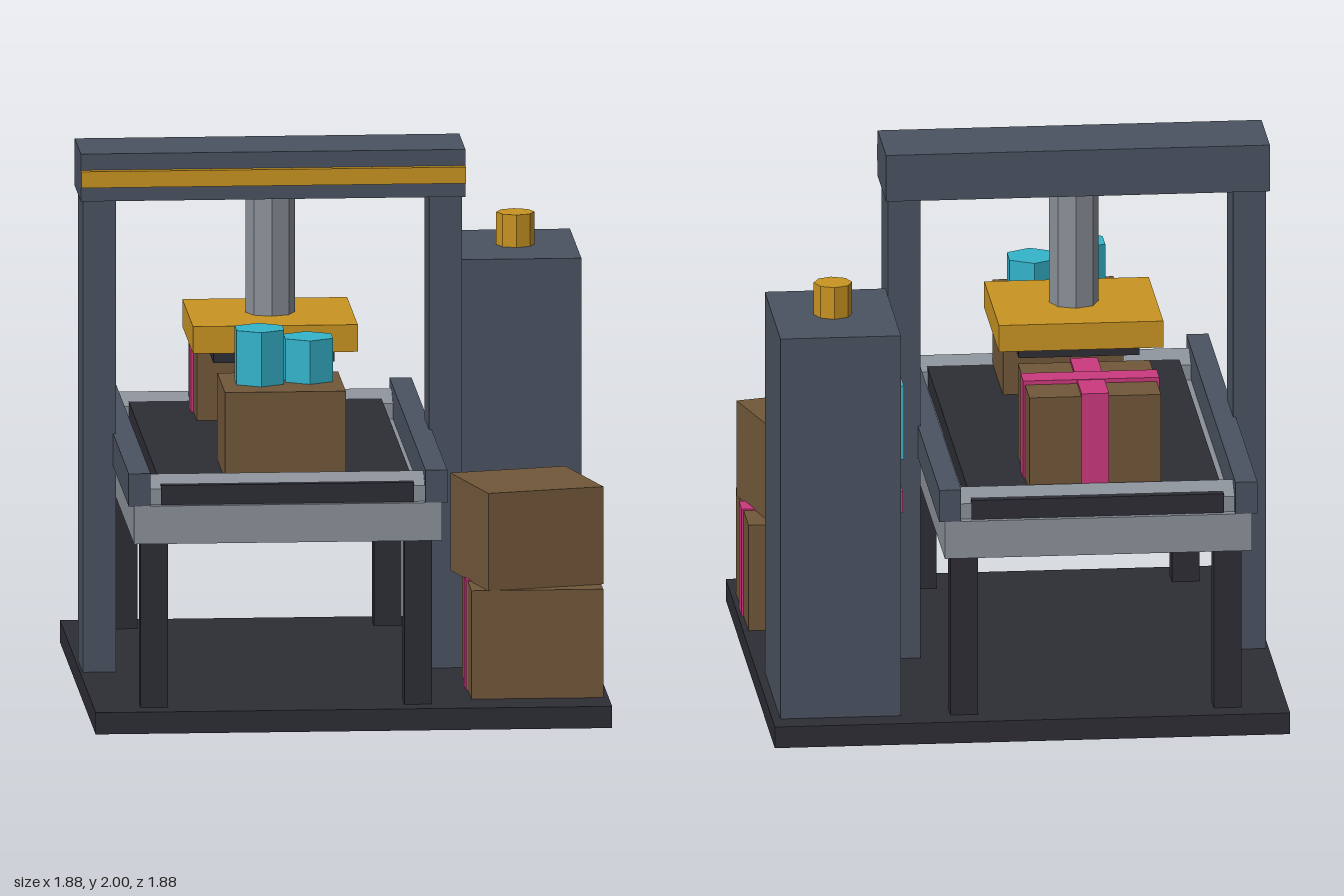
import * as THREE from 'three';

const mat = (name, color) => {
  const m = new THREE.MeshStandardMaterial({ color, flatShading: true });
  m.name = name;
  return m;
};

export function createModel() {
  const charcoal = mat('charcoal', 0x2d2d35);
  const slate = mat('slate', 0x4b5361);
  const steel = mat('steel', 0x8b9199);
  const amber = mat('amber', 0xc99422);
  const cardboard = mat('cardboard', 0x71573a);
  const pink = mat('pink', 0xcb397e);
  const cyan = mat('cyan', 0x34b4ca);

  const model = new THREE.Group();
  model.name = 'packingPress';

  // Box from its extents on each axis
  const box = (name, m, [x0, x1], [y0, y1], [z0, z1], parent = model) => {
    const mesh = new THREE.Mesh(new THREE.BoxGeometry(x1 - x0, y1 - y0, z1 - z0), m);
    mesh.position.set((x0 + x1) / 2, (y0 + y1) / 2, (z0 + z1) / 2);
    mesh.name = name;
    parent.add(mesh);
    return mesh;
  };
  // Upright prism
  const prism = (name, m, r, sides, x, z, [y0, y1], parent = model) => {
    const mesh = new THREE.Mesh(new THREE.CylinderGeometry(r, r, y1 - y0, sides), m);
    mesh.position.set(x, (y0 + y1) / 2, z);
    mesh.name = name;
    parent.add(mesh);
    return mesh;
  };

  box('basePlate', charcoal, [-0.94, 0.94], [0, 0.08], [-0.94, 0.94]);

  // Conveyor, centred on x = -0.24
  const cx = -0.24;
  const conveyor = new THREE.Group();
  conveyor.name = 'conveyor';
  model.add(conveyor);
  box('bed', steel, [-0.8, 0.32], [0.7, 0.84], [-0.94, 0.94], conveyor);
  box('belt', charcoal, [-0.7, 0.22], [0.84, 0.912], [-0.92, 0.92], conveyor);
  for (const s of [-1, 1]) {
    const rx = cx + s * 0.54;
    box('sideRail', slate, [rx - 0.04, rx + 0.04], [0.84, 0.96], [-0.94, 0.94], conveyor);
    const roller = prism('endRoller', steel, 0.085, 6, cx, s * 0.835, [0, 1.0], conveyor);
    roller.position.y = 0.855;
    roller.rotation.z = Math.PI / 2;
    roller.geometry.rotateY(Math.PI / 2);
    for (const t of [-1, 1]) {
      const lx = cx + s * 0.48, lz = t * 0.8;
      box('conveyorLeg', charcoal, [lx - 0.05, lx + 0.05], [0.08, 0.7], [lz - 0.05, lz + 0.05], conveyor);
    }
  }

  // Gantry and press
  const press = new THREE.Group();
  press.name = 'press';
  model.add(press);
  for (const s of [-1, 1]) {
    const px = cx + s * 0.63;
    box('gantryPost', slate, [px - 0.06, px + 0.06], [0.08, 1.825], [-0.12, 0.12], press);
  }
  box('gantryBeam', slate, [-0.94, 0.46], [1.825, 2], [-0.16, 0.16], press);
  box('beamStripe', amber, [-0.94, 0.46], [1.88, 1.94], [0.16, 0.19], press);
  prism('ram', steel, 0.09, 8, cx, 0, [1.38, 1.825], press);
  box('pressPlate', amber, [-0.54, 0.06], [1.28, 1.38], [-0.28, 0.28], press);
  box('pressPad', charcoal, [-0.46, -0.02], [1.23, 1.28], [-0.2, 0.2], press);

  // Open parcel with two jars
  box('frontParcel', cardboard, [-0.46, -0.02], [0.912, 1.23], [0.4, 0.8]);
  prism('tallJar', cyan, 0.1, 6, -0.32, 0.595, [1.23, 1.43]);
  prism('shortJar', cyan, 0.1, 6, -0.14, 0.555, [1.23, 1.39]);

  // Gift-wrapped parcel
  box('wrappedParcel', cardboard, [-0.48, 0], [0.912, 1.265], [-0.82, -0.385]);
  box('ribbonAcross', pink, [-0.49, 0.007], [0.912, 1.28], [-0.655, -0.555]);
  box('ribbonAlong', pink, [-0.29, -0.19], [0.912, 1.278], [-0.83, -0.375]);

  // Stacked crates
  box('lowerCrate', cardboard, [0.44, 0.92], [0.08, 0.48], [0.28, 0.76]);
  box('crateRibbon', pink, [0.433, 0.927], [0.08, 0.485], [0.467, 0.573]);
  const upper = box('upperCrate', cardboard, [0.44, 0.88], [0.48, 0.84], [0.28, 0.72]);
  upper.rotation.y = 0.25;

  // Control cabinet; its panel faces the conveyor
  const cabinet = new THREE.Group();
  cabinet.name = 'controlCabinet';
  model.add(cabinet);
  box('cabinetBody', slate, [0.47, 0.91], [0.08, 1.52], [-0.84, -0.24], cabinet);
  prism('beacon', amber, 0.07, 8, 0.69, -0.54, [1.52, 1.64], cabinet);
  box('screen', cyan, [0.45, 0.47], [1.02, 1.3], [-0.74, -0.34], cabinet);
  box('amberButton', amber, [0.45, 0.47], [0.81, 0.89], [-0.47, -0.37], cabinet);
  box('pinkButton', pink, [0.45, 0.47], [0.81, 0.89], [-0.71, -0.61], cabinet);

  return model;
}
